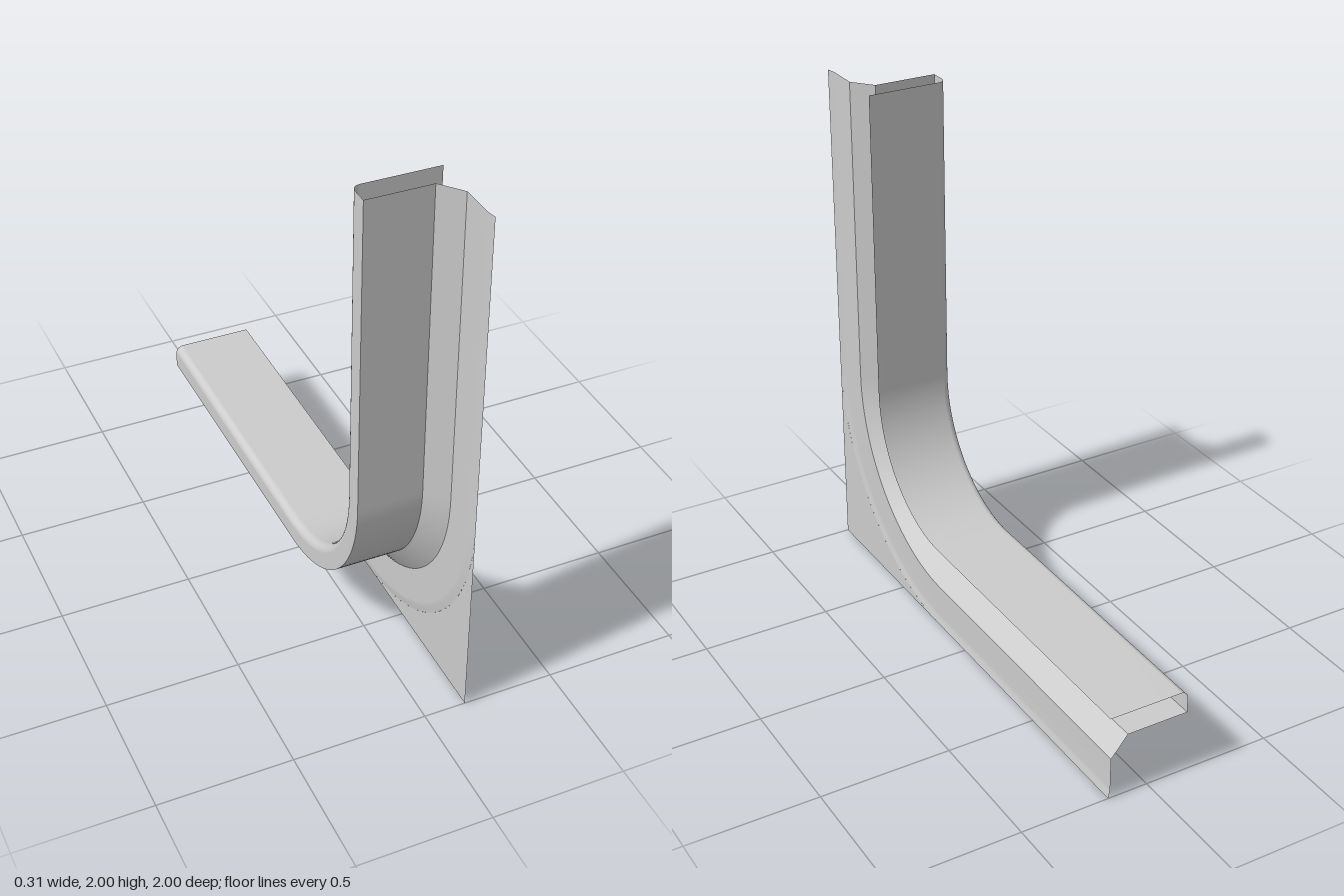
import * as THREE from 'three';

const ARC_STEPS = 24;
const CZ = 0.2, CY = 0.8; // centre of the bend

// Sweeps a section of [x, depth] points down the upright, round the bend and along the foot.
function sweep(section) {
  const stations = [d => [2, d]];
  for (let i = 0; i <= ARC_STEPS; i++) {
    const a = (i / ARC_STEPS) * Math.PI / 2;
    stations.push(d => [CY - (d - CZ) * Math.sin(a), CZ + (d - CZ) * Math.cos(a)]);
  }
  stations.push(d => [CY - (d - CZ), -1]);

  const pos = [], index = [], n = section.length;
  stations.forEach((at, i) => {
    section.forEach(([x, d], j) => {
      pos.push(x, ...at(d));
      if (i && j) {
        const b = i * n + j, a = b - n;
        index.push(a - 1, a, b - 1, a, b, b - 1);
      }
    });
  });
  const geo = new THREE.BufferGeometry();
  geo.setAttribute('position', new THREE.Float32BufferAttribute(pos, 3));
  geo.setIndex(index);
  geo.computeVertexNormals();
  return geo;
}

export function createModel() {
  const group = new THREE.Group();
  const material = new THREE.MeshStandardMaterial({ color: 0xcccccc, side: THREE.DoubleSide });
  const add = (name, geo) => {
    const mesh = new THREE.Mesh(geo, material);
    mesh.name = name;
    group.add(mesh);
  };

  // Wide inner flange, rounded over into the narrow side wall
  const left = 0.157, right = -0.157, inner = 0.665, outer = 0.755, r = 0.03;
  const channel = [[left, inner]];
  for (let i = 0; i <= 6; i++) {
    const a = (i / 6) * Math.PI / 2;
    channel.push([right + r - r * Math.sin(a), inner + r - r * Math.cos(a)]);
  }
  channel.push([right, outer]);
  add('innerFlange', sweep(channel));

  // Outer flange and the sloped web leading to the fin
  add('outerFlange', sweep([[right, outer], [0.085, outer]]));
  add('slopedWeb', sweep([[0.085, outer], [0.15, 0.835]]));

  // Thin side fin with a slight outward lip along its edge
  add('sideFin', sweep([[0.15, 0.835], [0.15, 0.96], [0.152, 0.975], [0.155, 0.988], [left, 1]]));

  // Flat gusset filling the square corner outside the bend
  const shape = new THREE.Shape();
  shape.moveTo(-1, 0);
  shape.lineTo(-1, CY);
  shape.absarc(-CZ, CY, 0.8, Math.PI, Math.PI * 1.5, false);
  shape.closePath();
  const gusset = new THREE.ShapeGeometry(shape, ARC_STEPS);
  gusset.rotateY(Math.PI / 2).translate(left, 0, 0);
  add('cornerGusset', gusset);

  return group;
}
